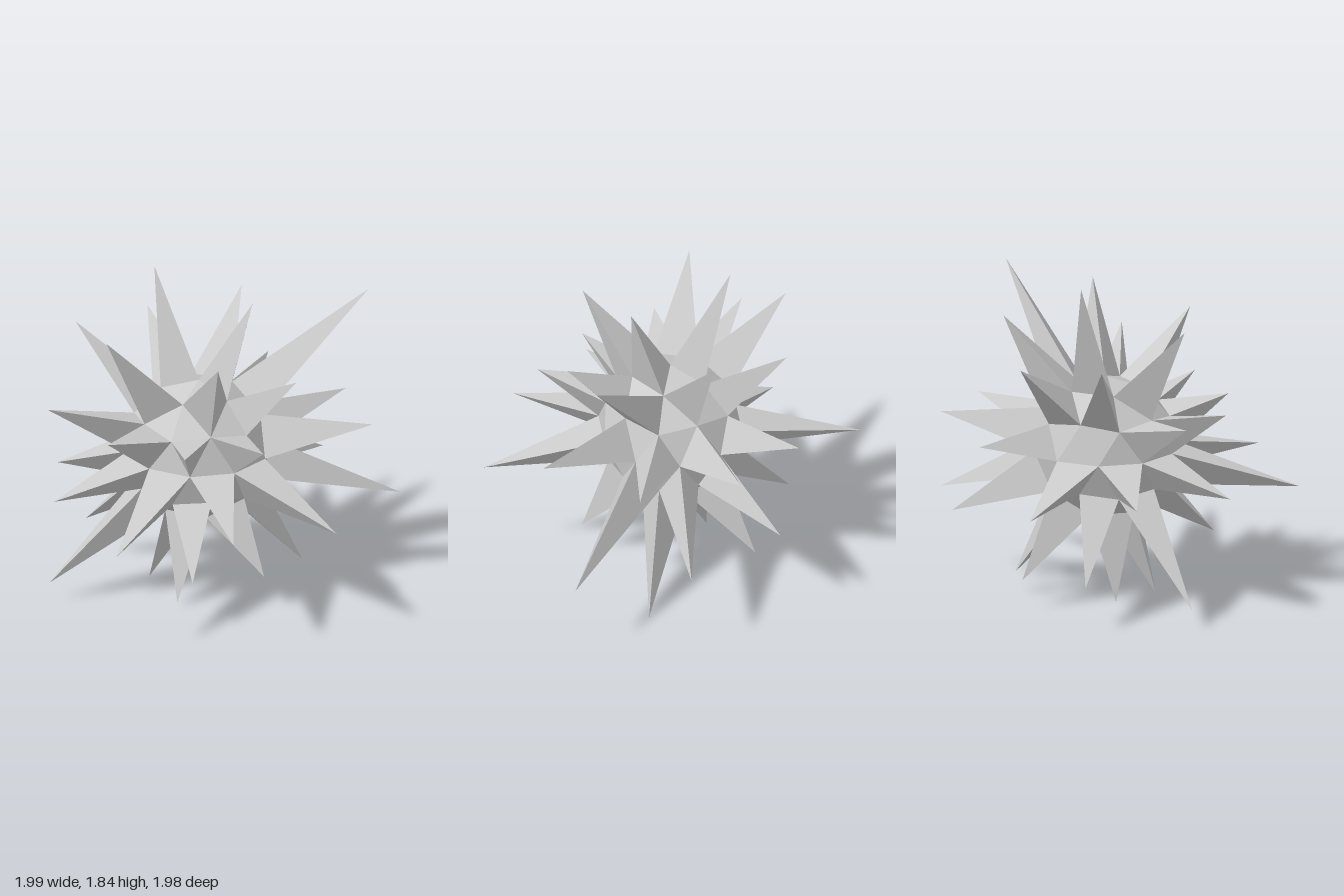
import * as THREE from 'three';

const RADIUS = 0.4;
const CENTRE = new THREE.Vector3(-0.09, 0.86, 0.01);

// Unit direction: azimuth from +x towards +z, elevation from the horizon (degrees)
function dir(az, el) {
  const a = THREE.MathUtils.degToRad(az), e = THREE.MathUtils.degToRad(el);
  return new THREE.Vector3(Math.cos(e) * Math.cos(a), Math.sin(e), Math.cos(e) * Math.sin(a));
}

// Spikes: azimuth, elevation of the core face, and distance of the tip from the centre
const SPIKES = [
  // upper cap
  [252, 72.5, 1.04], [36, 72.5, 0.93],
  [180, 52.6, 0.955], [324, 52.6, 0.92], [108, 52.6, 0.90],
  [13.3, 40.1, 1.275], [58.7, 40.1, 0.805], [274.7, 40.1, 0.87], [229.3, 40.1, 0.96],
  // upper belt
  [198.3, 20.1, 0.90], [161.7, 20.1, 0.77], [126.3, 20.1, 0.74], [89.7, 20.1, 0.79],
  [36, 10.8, 0.98], [324, 10.8, 0.92], [0, 9.1, 0.93], [288, 9.1, 0.81],
  // lower belt
  [180, -9.1, 0.92], [108, -9.1, 0.99], [252, -9.1, 1.06],
  [144, -10.8, 1.09], [72, -10.8, 1.05], [216, -10.8, 0.795],
  [18.3, -20.1, 1.2], [306.3, -20.1, 0.915], [341.7, -20.1, 1.045],
  // lower cap
  [193.3, -40.1, 1.12], [238.7, -40.1, 0.93], [121.3, -40.1, 0.825],
  [0, -52.6, 1.07], [288, -52.6, 0.87], [72, -52.6, 0.805],
  [144, -72.5, 0.88], [216, -72.5, 0.86],
];

// Icosahedron standing on a corner, each face split in four and pushed to the sphere
function coreFaces() {
  const top = dir(0, 90), bottom = dir(0, -90), ringEl = 26.565;
  const faces = [];
  const split = (a, b, c) => {
    const mid = (p, q) => p.clone().add(q).normalize();
    const ab = mid(a, b), bc = mid(b, c), ca = mid(c, a);
    faces.push([a, ab, ca], [ab, b, bc], [ca, bc, c], [ab, bc, ca]);
  };
  for (let k = 0; k < 5; k++) {
    const u0 = dir(72 * k, ringEl), u1 = dir(72 * k + 72, ringEl);
    const l0 = dir(72 * k + 36, -ringEl), l1 = dir(72 * k + 108, -ringEl);
    split(top, u1, u0);
    split(u0, u1, l0);
    split(u1, l1, l0);
    split(bottom, l0, l1);
  }
  return faces.map((f) => {
    const pts = f.map((p) => p.clone().multiplyScalar(RADIUS));
    const centre = pts[0].clone().add(pts[1]).add(pts[2]).divideScalar(3);
    const normal = new THREE.Triangle(...pts).getNormal(new THREE.Vector3());
    if (normal.dot(centre) < 0) {
      pts.reverse();
      normal.negate();
    }
    return { pts, centre, normal, direction: centre.clone().normalize() };
  });
}

function trianglesMesh(name, points, material) {
  const geometry = new THREE.BufferGeometry().setFromPoints(points);
  geometry.computeVertexNormals();
  const mesh = new THREE.Mesh(geometry, material);
  mesh.name = name;
  return mesh;
}

export function createModel() {
  const model = new THREE.Group();
  model.name = 'spikyBall';
  model.position.copy(CENTRE);
  const material = new THREE.MeshStandardMaterial({ color: 0xcccccc, flatShading: true });
  const faces = coreFaces();

  // Spikes: three-sided pyramids rising along the normal of their core face
  const spikes = new THREE.Group();
  spikes.name = 'spikes';
  for (const [az, el, reach] of SPIKES) {
    const d = dir(az, el);
    const face = faces.reduce((best, f) => (f.direction.dot(d) > best.direction.dot(d) ? f : best));
    face.spiked = true;
    const tip = face.centre.clone().addScaledVector(face.normal, reach - face.centre.length());
    const [a, b, c] = face.pts;
    spikes.add(trianglesMesh('spike', [a, b, tip, b, c, tip, c, a, tip], material));
  }

  // Core: the faces left without a spike
  const bare = faces.filter((f) => !f.spiked).flatMap((f) => f.pts);
  model.add(trianglesMesh('core', bare, material), spikes);

  const root = new THREE.Group();
  root.name = 'model';
  root.add(model);
  return root;
}
